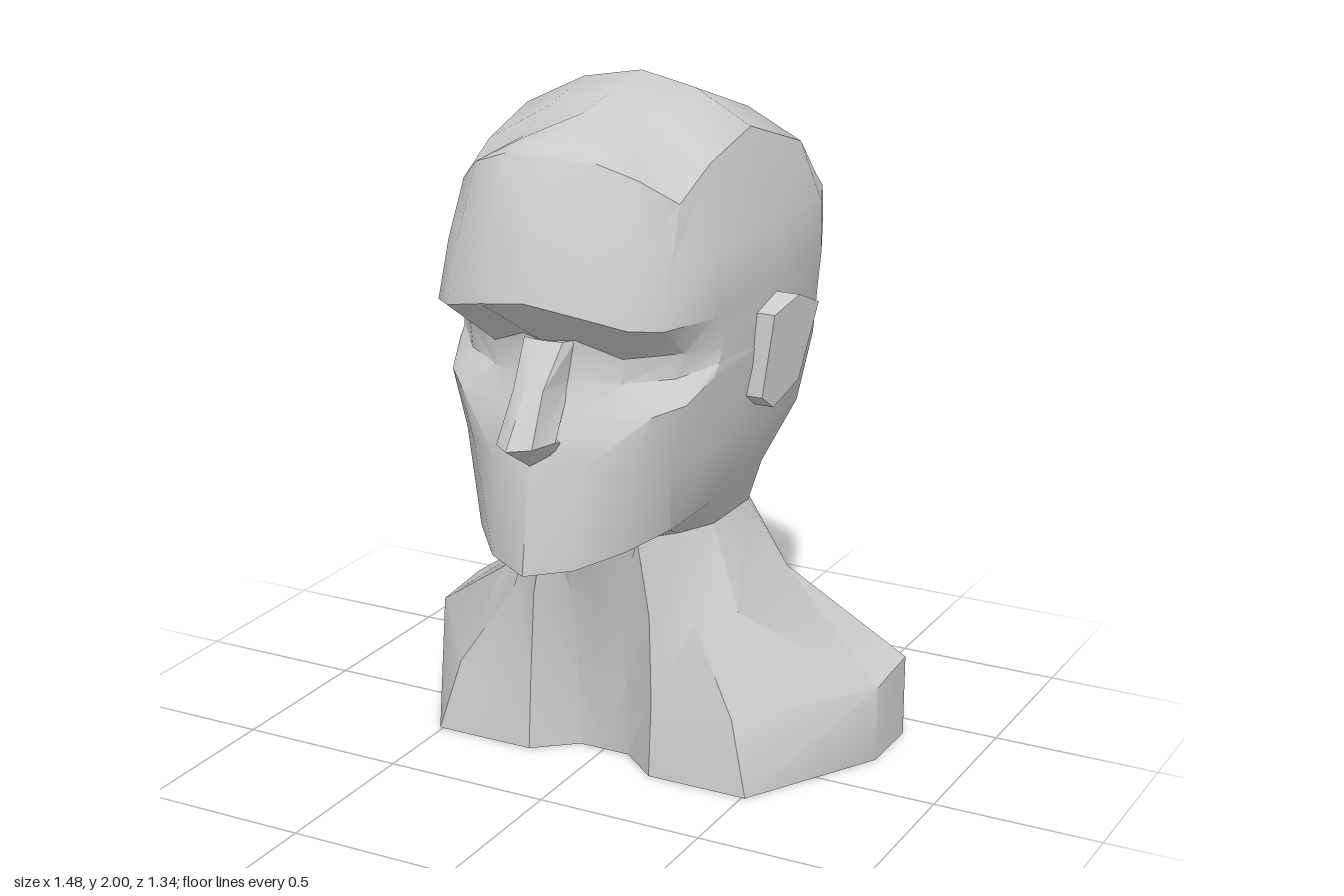
import * as THREE from 'three';
import { toCreasedNormals } from 'three/addons/utils/BufferGeometryUtils.js';

const material = new THREE.MeshStandardMaterial({ color: 0xcccccc });

// Half section (front centre -> +x side -> back centre) to a full closed loop
function mirrorLoop(half) {
  const other = half.slice(1, -1).reverse().map(([x, y, z]) => [-x, y, z]);
  return [...half, ...other].map((p) => new THREE.Vector3(...p));
}

// Skin a stack of half sections, listed from bottom to top
function skin(halves, floorCentre, crease) {
  const loops = halves.map(mirrorLoop);
  const n = loops[0].length;
  const pos = [];
  const tri = (a, b, c) => {
    const area = b.clone().sub(a).cross(c.clone().sub(a)).length();
    if (area > 1e-6) for (const p of [a, b, c]) pos.push(p.x, p.y, p.z);
  };
  for (let r = 0; r < loops.length - 1; r++) {
    for (let c = 0; c < n; c++) {
      const a = loops[r][c], b = loops[r][(c + 1) % n];
      const e = loops[r + 1][c], d = loops[r + 1][(c + 1) % n];
      if (c < n / 2) { tri(a, b, d); tri(a, d, e); } // same diagonals on both sides
      else { tri(a, b, e); tri(b, d, e); }
    }
  }
  if (floorCentre) {
    const f = new THREE.Vector3(...floorCentre);
    for (let c = 0; c < n; c++) tri(f, loops[0][(c + 1) % n], loops[0][c]);
  }
  const g = new THREE.BufferGeometry();
  g.setAttribute('position', new THREE.Float32BufferAttribute(pos, 3));
  return toCreasedNormals(g, crease);
}

// Head section: five points over the face, then a rounded back of the skull
function headSection(face, w, y, zBack, yBack = y) {
  return [
    ...face,
    [w, y, -0.08],
    [w * 0.98, y, zBack * 0.6],
    [w * 0.81, yBack, zBack * 0.865],
    [w * 0.42, yBack, zBack * 0.97],
    [0, yBack, zBack],
  ];
}

function headAndShoulders() {
  const shoulders = [
    [[0, 0, 0.12], [0.08, 0, 0.12], [0.2, 0, 0.22], [0.51, 0, 0.22], [0.74, 0, -0.19],
      [0.74, 0, -0.4], [0.55, 0, -0.485], [0.36, 0, -0.57], [0.2, 0, -0.585], [0, 0, -0.575]],
    [[0, 0.23, 0.14], [0.08, 0.23, 0.13], [0.2, 0.23, 0.205], [0.45, 0.22, 0.19], [0.74, 0.23, -0.19],
      [0.74, 0.25, -0.4], [0.53, 0.25, -0.44], [0.36, 0.24, -0.48], [0.2, 0.23, -0.495], [0, 0.23, -0.49]],
    [[0, 0.49, 0.17], [0.08, 0.49, 0.16], [0.19, 0.49, 0.2], [0.3, 0.46, 0.13], [0.39, 0.48, 0.03],
      [0.38, 0.5, -0.33], [0.33, 0.5, -0.37], [0.25, 0.5, -0.395], [0.14, 0.5, -0.41], [0, 0.5, -0.41]],
  ];
  const neckTop = [[0, 0.715, 0.24], [0.07, 0.715, 0.23], [0.15, 0.72, 0.2], [0.23, 0.72, 0.1], [0.285, 0.72, -0.02],
    [0.285, 0.72, -0.25], [0.26, 0.72, -0.3], [0.21, 0.72, -0.34], [0.12, 0.72, -0.37], [0, 0.72, -0.375]];

  // Jaw, mouth, cheek
  const jaw = headSection([[0, 0.715, 0.59], [0.13, 0.735, 0.53], [0.23, 0.77, 0.42],
    [0.295, 0.8, 0.28], [0.33, 0.83, 0.1]], 0.335, 0.85, -0.41);
  const mouth = headSection([[0, 1.02, 0.545], [0.14, 1.02, 0.5], [0.25, 1.02, 0.42],
    [0.325, 1.02, 0.33], [0.375, 1.02, 0.15]], 0.4, 1.02, -0.575);
  const cheek = headSection([[0, 1.16, 0.5], [0.11, 1.16, 0.47], [0.3, 1.165, 0.4],
    [0.37, 1.19, 0.33], [0.405, 1.25, 0.23]], 0.435, 1.22, -0.62);
  // Eye hollow
  const eyeLow = headSection([[0, 1.24, 0.45], [0.1, 1.24, 0.42], [0.2, 1.24, 0.38],
    [0.32, 1.25, 0.3], [0.405, 1.28, 0.205]], 0.438, 1.29, -0.634);
  const eyeHigh = headSection([[0, 1.36, 0.47], [0.08, 1.36, 0.43], [0.2, 1.31, 0.38],
    [0.34, 1.32, 0.28], [0.41, 1.33, 0.195]], 0.44, 1.36, -0.648);
  // Brow and forehead
  const brow = headSection([[0, 1.485, 0.565], [0.15, 1.46, 0.54], [0.28, 1.43, 0.5],
    [0.35, 1.42, 0.43], [0.41, 1.42, 0.25]], 0.444, 1.46, -0.67, 1.53);
  const forehead = headSection([[0, 1.62, 0.515], [0.15, 1.62, 0.495], [0.27, 1.6, 0.455],
    [0.345, 1.58, 0.38], [0.405, 1.59, 0.22]], 0.44, 1.61, -0.668);

  // Crown: side crease, arched middle, centre ridge
  const crease = [[0, 1.85, 0.42], [0.14, 1.85, 0.415], [0.25, 1.81, 0.385], [0.335, 1.74, 0.31], [0.345, 1.82, 0.15],
    [0.355, 1.88, -0.08], [0.35, 1.77, -0.43], [0.34, 1.64, -0.57], [0.18, 1.69, -0.64], [0, 1.71, -0.665]];
  const ridge = [[1.85, 0.42], [1.88, 0.36], [1.91, 0.29], [1.94, 0.22], [1.97, 0.06],
    [2, -0.11], [1.88, -0.45], [1.8, -0.56], [1.74, -0.63], [1.71, -0.665]].map(([y, z]) => [0, y, z]);
  const arch = crease.map(([x, y, z], i) =>
    [x / 2, (y + ridge[i][1]) / 2 + x * 0.08, (z + ridge[i][2]) / 2]);

  return skin([...shoulders, neckTop, jaw, mouth, cheek, eyeLow, eyeHigh, brow, forehead, crease, arch, ridge],
    [0, 0, -0.2], 0.6);
}

function nose() {
  return skin([
    [[0, 1.02, 0.54], [0.06, 1.06, 0.53], [0.07, 1.08, 0.48], [0, 1.02, 0.42]],
    [[0, 1.1, 0.67], [0.055, 1.1, 0.625], [0.08, 1.1, 0.54], [0, 1.1, 0.4]],
    [[0, 1.24, 0.563], [0.045, 1.24, 0.545], [0.06, 1.24, 0.42], [0, 1.24, 0.38]],
    [[0, 1.36, 0.47], [0.06, 1.36, 0.46], [0.08, 1.36, 0.42], [0, 1.36, 0.38]],
  ], null, 0.5);
}

// Six-sided ear slab whose outer face flares towards the back and top
function ear() {
  const outline = [[-0.08, 1.42], [0.02, 1.38], [0.035, 1.14], [-0.02, 1.1], [-0.12, 1.16], [-0.17, 1.38]];
  const shape = new THREE.Shape(outline.map(([z, y]) => new THREE.Vector2(-z, y)));
  const g = new THREE.ExtrudeGeometry(shape, { depth: 0.1, bevelEnabled: false });
  g.rotateY(Math.PI / 2);
  const p = g.attributes.position;
  for (let i = 0; i < p.count; i++) {
    const outer = 0.47 + (0.03 - p.getZ(i)) * 0.25 + (p.getY(i) - 1.26) * 0.1;
    p.setX(i, p.getX(i) > 0.05 ? outer : 0.4);
  }
  g.computeVertexNormals();
  return g;
}

export function createModel() {
  const group = new THREE.Group();
  group.name = 'bust';
  const add = (name, geometry) => {
    const mesh = new THREE.Mesh(geometry, material);
    mesh.name = name;
    group.add(mesh);
    return mesh;
  };
  add('headAndShoulders', headAndShoulders());
  add('nose', nose());
  const earGeometry = ear();
  add('leftEar', earGeometry);
  add('rightEar', earGeometry).scale.x = -1;
  return group;
}
